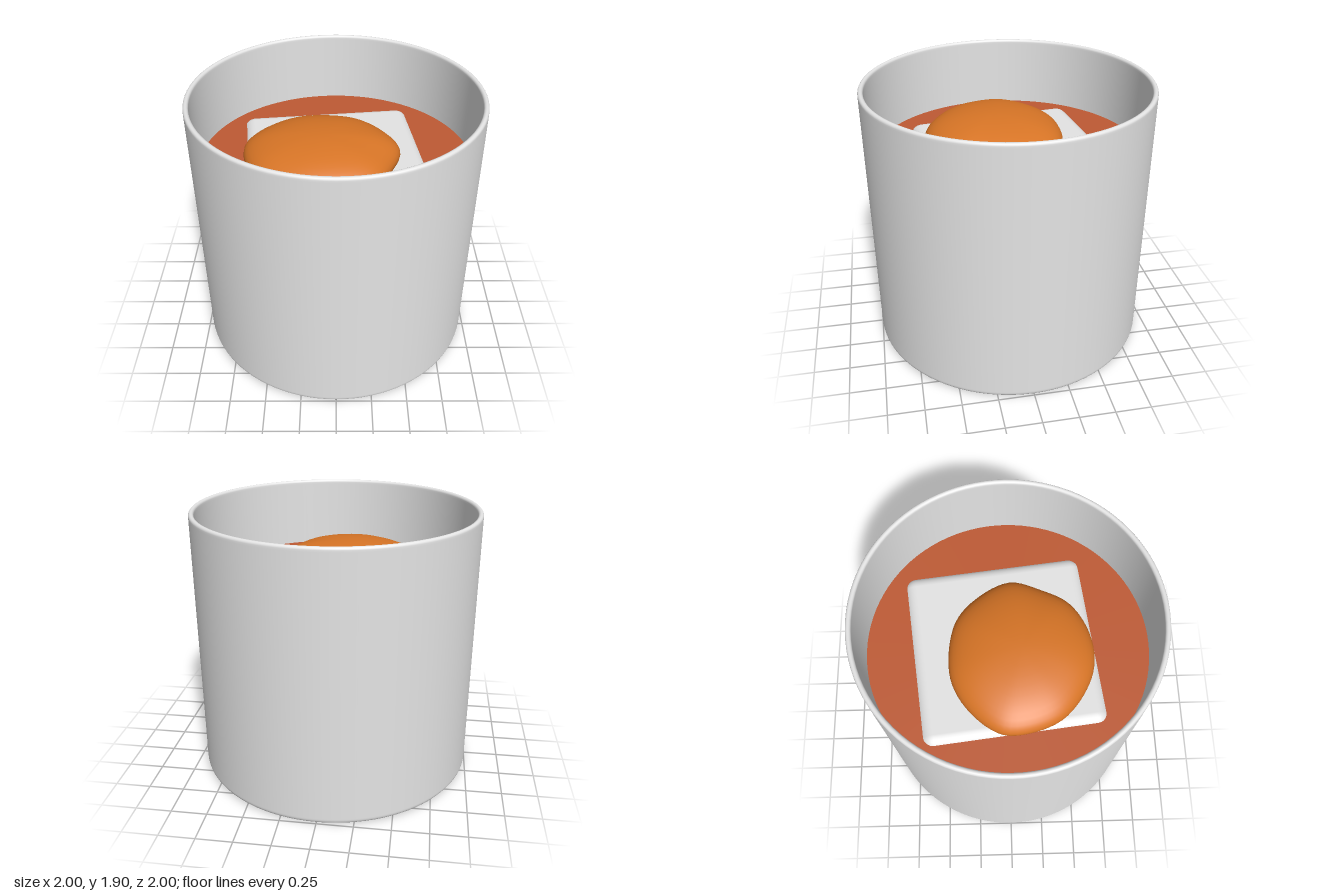
import * as THREE from 'three';
import { RoundedBoxGeometry } from 'three/addons/geometries/RoundedBoxGeometry.js';

const material = (name, color, side = THREE.FrontSide) => {
  const m = new THREE.MeshStandardMaterial({ color, side });
  m.name = name;
  return m;
};

// Rounded slab: a closed outline swept over the top and under the bottom
function pebbleGeometry(outline, center, halfHeight, rings, segments) {
  const curve = new THREE.CatmullRomCurve3(
    outline.map(([x, z]) => new THREE.Vector3(x - center[0], 0, z - center[1])), true);
  const loop = curve.getSpacedPoints(segments);
  const positions = [], index = [];
  for (let i = 0; i <= rings; i++) {
    const a = Math.PI * i / rings;
    for (let j = 0; j < segments; j++) {
      positions.push(loop[j].x * Math.sin(a), halfHeight * Math.cos(a), loop[j].z * Math.sin(a));
    }
  }
  for (let i = 0; i < rings; i++) {
    for (let j = 0; j < segments; j++) {
      const k = (j + 1) % segments;
      const a = i * segments + j, b = i * segments + k;
      const c = a + segments, d = b + segments;
      if (i > 0) index.push(a, c, b);
      if (i < rings - 1) index.push(b, c, d);
    }
  }
  // The outline runs clockwise seen from above, so flip the corners
  for (let i = 0; i < index.length; i += 3) {
    [index[i + 1], index[i + 2]] = [index[i + 2], index[i + 1]];
  }
  const g = new THREE.BufferGeometry();
  g.setAttribute('position', new THREE.Float32BufferAttribute(positions, 3));
  g.setIndex(index);
  g.computeVertexNormals();
  // The poles are shared points, so give them plain vertical normals
  for (let j = 0; j < segments; j++) {
    g.attributes.normal.setXYZ(j, 0, 1, 0);
    g.attributes.normal.setXYZ(rings * segments + j, 0, -1, 0);
  }
  return g;
}

export function createModel() {
  const model = new THREE.Group();
  model.name = 'drink';
  const add = (name, geometry, mat) => {
    const mesh = new THREE.Mesh(geometry, mat);
    mesh.name = name;
    model.add(mesh);
    return mesh;
  };
  const glass = material('clear glass', 0xe4e4e4);
  const ice = material('ice', 0xe4e4e4);
  const drink = material('amber drink', 0xbe5a34);
  const peel = material('orange peel', 0xd87526);

  // Tumbler: outer wall, rounded rim, inner wall and thick floor
  const profile = [[0, 0], [0.96, 0], [0.97, 0]];
  for (let i = 1; i <= 4; i++) {
    const a = Math.PI / 2 * i / 4;
    profile.push([0.97 + 0.03 * Math.sin(a), 0.03 - 0.03 * Math.cos(a)]);
  }
  profile.push([1, 0.04], [1, 1.87]);
  for (let i = 0; i <= 8; i++) {
    const a = Math.PI * i / 8;
    profile.push([0.982 + 0.018 * Math.cos(a), 1.882 + 0.018 * Math.sin(a)]);
  }
  profile.push([0.964, 1.87], [0.958, 0.13], [0.958, 0.12], [0.95, 0.12], [0, 0.12]);
  add('tumbler', new THREE.LatheGeometry(
    profile.map(([x, y]) => new THREE.Vector2(x, y)), 96), glass);

  // Drink filling the tumbler
  const level = 1.39, floor = 0.12;
  add('drink', new THREE.CylinderGeometry(0.96, 0.957, level - floor, 96), drink)
    .position.y = (level + floor) / 2;

  // Large ice cube just breaking the surface
  const cube = add('iceCube', new RoundedBoxGeometry(1.26, 1.24, 1.26, 5, 0.09), ice);
  cube.position.set(-0.01, 1.42 - 0.62, -0.03);
  cube.rotation.y = 0.118;

  // Round of orange peel lying on the ice
  const outline = [
    [-0.2, -0.395], [0.14, -0.36], [0.32, -0.22], [0.445, 0.02], [0.38, 0.24], [0.28, 0.42],
    [0.1, 0.535], [-0.11, 0.575], [-0.31, 0.525], [-0.55, 0.33], [-0.64, 0], [-0.58, -0.15],
    [-0.4, -0.32],
  ];
  add('orangePeel', pebbleGeometry(outline, [-0.1, 0.09], 0.18, 24, 72), peel)
    .position.set(-0.1, 1.465, 0.09);

  return model;
}
